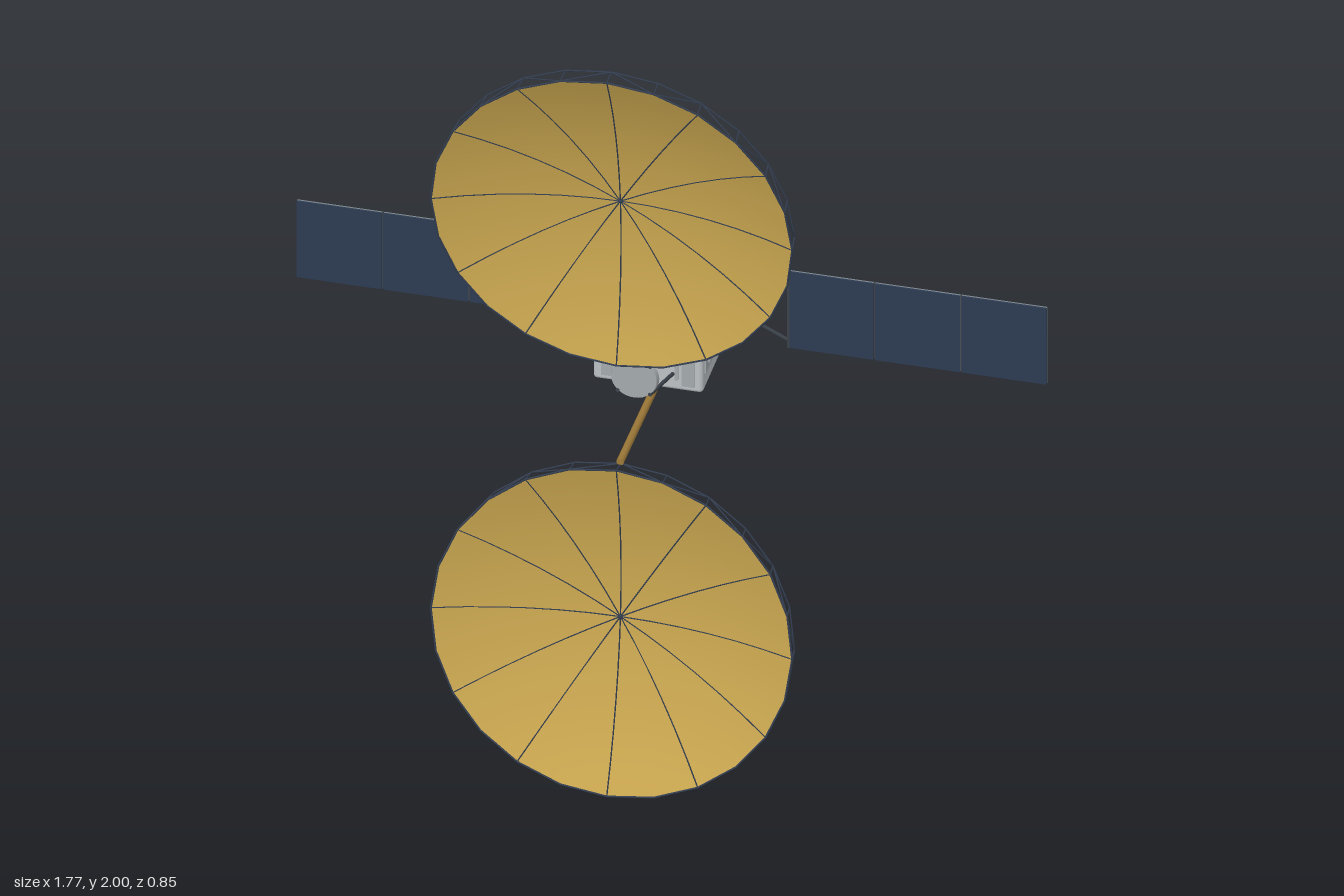
import * as THREE from 'three';
import { mergeGeometries } from 'three/addons/utils/BufferGeometryUtils.js';
import { RoundedBoxGeometry } from 'three/addons/geometries/RoundedBoxGeometry.js';

const paint = (name, color, side = THREE.FrontSide) => {
  const m = new THREE.MeshStandardMaterial({ color, side });
  m.name = name;
  return m;
};
const V = (x, y, z) => new THREE.Vector3(x, y, z);
const MID = 1.005; // height of the body axis

// Round bar between two points
function bar(a, b, r, sides = 5) {
  const d = b.clone().sub(a);
  const g = new THREE.CylinderGeometry(r, r, d.length(), sides);
  g.applyQuaternion(new THREE.Quaternion().setFromUnitVectors(V(0, 1, 0), d.normalize()));
  const c = a.clone().add(b).multiplyScalar(0.5);
  return g.translate(c.x, c.y, c.z);
}

// Parabolic bowl opening towards +z, rim in the plane z = 0
function bowl(R, depth, sides, steps) {
  const pts = [];
  for (let i = 0; i <= steps; i++) {
    const t = i / steps;
    pts.push(new THREE.Vector2(R * t, depth * (t * t - 1)));
  }
  return new THREE.LatheGeometry(pts, sides).rotateX(Math.PI / 2);
}

export function createModel() {
  const gold = paint('gold mesh', 0xcaa750, THREE.DoubleSide);
  const bronze = paint('bronze boom', 0x9c7838);
  const silver = paint('silver body', 0xbcc1c4);
  const lightGrey = paint('light grey fittings', 0xa4aaad, THREE.DoubleSide);
  const charcoal = paint('charcoal module', 0x4a5356);
  const midGrey = paint('mid grey panel back', 0x78828a);
  const navy = paint('navy solar cells', 0x2c3b52);
  const dark = paint('dark struts', 0x3a4149);
  const slate = paint('slate truss', 0x343f52);

  const model = new THREE.Group();
  model.name = 'satellite';
  const add = (name, geo, mat, parent = model) => {
    const m = new THREE.Mesh(geo, mat);
    m.name = name;
    parent.add(m);
    return m;
  };
  const box = (name, w, h, d, x, y, z, mat, parent) =>
    add(name, new THREE.BoxGeometry(w, h, d).translate(x, y, z), mat, parent);
  const disc = (name, r0, r1, h, z, mat, sides = 32) =>
    add(name, new THREE.CylinderGeometry(r1, r0, h, sides).rotateX(Math.PI / 2).translate(0, MID, z), mat);

  // Main body and rear module
  add('body', new RoundedBoxGeometry(0.26, 0.222, 0.265, 2, 0.01).translate(0, MID, -0.098), silver);
  box('bodySeam', 0.264, 0.226, 0.005, 0, MID, -0.192, dark);
  box('rearFlange', 0.266, 0.224, 0.008, 0, MID, -0.227, lightGrey);
  box('rearModule', 0.236, 0.2, 0.176, 0, MID, -0.317, charcoal);

  // Engine ring on the rear face
  const ring = new THREE.Shape().absarc(0, 0, 0.086, 0, Math.PI * 2);
  ring.holes.push(new THREE.Path().absarc(0, 0, 0.064, 0, Math.PI * 2));
  add('engineRing', new THREE.ExtrudeGeometry(ring, { depth: 0.022, bevelEnabled: false, curveSegments: 24 })
    .translate(0, MID, -0.426), midGrey);
  disc('engineWell', 0.064, 0.064, 0.006, -0.407, charcoal);
  disc('engineCore', 0.046, 0.05, 0.012, -0.41, midGrey);

  // Raised plates on the side and front faces
  for (const s of [-1, 1]) {
    box('sidePlate', 0.006, 0.124, 0.19, s * 0.131, MID, -0.075, lightGrey);
    box('sideInset', 0.006, 0.095, 0.11, s * 0.133, MID, -0.06, silver);
    for (const v of [-0.032, 0, 0.032])
      box('sideLouver', 0.003, 0.004, 0.1, s * 0.1365, MID + v, -0.06, charcoal);
    box('frontPlate', 0.03, 0.19, 0.005, s * 0.095, MID, 0.035, lightGrey);
    box('frontStrip', 0.008, 0.16, 0.006, s * 0.068, MID, 0.036, lightGrey);
  }

  // Forward feed: a disc carried on four legs
  disc('frontFeed', 0.057, 0.054, 0.012, 0.159, lightGrey);
  disc('feedBase', 0.058, 0.058, 0.006, 0.036, lightGrey);
  const legs = [];
  for (const sx of [-1, 1]) for (const sy of [-1, 1])
    legs.push(bar(V(sx * 0.06, MID + sy * 0.066, 0.03), V(sx * 0.038, MID + sy * 0.038, 0.168), 0.0045, 8));
  add('feedLegs', mergeGeometries(legs), dark);

  // Solar wings, mirrored left and right
  for (const s of [-1, 1]) {
    const wing = new THREE.Group();
    wing.name = s > 0 ? 'leftSolarWing' : 'rightSolarWing';
    model.add(wing);
    for (let i = 0; i < 3; i++) {
      const x = s * (0.376 + i * 0.205);
      box('solarCells', 0.201, 0.212, 0.004, x, MID, -0.19, navy, wing);
      box('panelBack', 0.201, 0.212, 0.004, x, MID, -0.194, midGrey, wing);
      if (i) box('panelHinge', 0.006, 0.212, 0.004, x - s * 0.1025, MID, -0.196, dark, wing);
    }
    for (const v of [-1, 1]) {
      box('backRail', 0.611, 0.0025, 0.002, s * 0.581, MID + v * 0.085, -0.1965, dark, wing);
      add('wingStrut', bar(V(s * 0.13, MID + v * 0.016, -0.192), V(s * 0.277, MID + v * 0.088, -0.192), 0.0045, 8), dark, wing);
    }
    box('wingRoot', 0.005, 0.212, 0.009, s * 0.276, MID, -0.192, dark, wing);
    add('wingHub', new THREE.CylinderGeometry(0.02, 0.02, 0.02, 8).rotateZ(Math.PI / 2)
      .translate(s * 0.137, MID, -0.192), dark, wing);
  }

  // Mesh reflectors with ribs, rim truss and boom, above and below the body
  const R = 0.427, DEPTH = 0.084, SIDES = 24;
  for (const s of [1, -1]) {
    const dish = new THREE.Group();
    dish.name = s > 0 ? 'upperReflector' : 'lowerReflector';
    dish.position.set(0, MID + s * 0.571, 0.375);
    dish.rotation.x = s * 0.105;
    model.add(dish);
    add('reflectorMesh', bowl(R, DEPTH, SIDES, 12), gold, dish);

    const ribs = [], truss = [];
    const at = (r, a, z) => V(r * Math.cos(a), r * Math.sin(a), z);
    for (let i = 0; i < 12; i++) {
      const a = (i / 12) * Math.PI * 2;
      for (let k = 0; k < 6; k++) {
        const p = (t) => at(R * t, a, DEPTH * (t * t - 1) + 0.0005);
        ribs.push(bar(p(k / 6), p((k + 1) / 6), 0.0016, 4));
      }
    }
    for (let i = 0; i < SIDES; i++) {
      const a = (i / SIDES) * Math.PI * 2, b = ((i + 1) / SIDES) * Math.PI * 2;
      const f0 = at(R, a, 0), f1 = at(R, b, 0);
      const b0 = at(R - 0.006, a, -0.046), b1 = at(R - 0.006, b, -0.046);
      truss.push(bar(f0, f1, 0.0024), bar(b0, b1, 0.002), bar(f0, b0, 0.002));
      truss.push(i % 2 ? bar(f0, b1, 0.0018) : bar(b0, f1, 0.0018));
    }
    add('reflectorRibs', mergeGeometries(ribs), slate, dish);
    add('rimTruss', mergeGeometries(truss), slate, dish);
    add('reflectorHub', new THREE.SphereGeometry(0.005, 8, 6).translate(0, 0, -DEPTH), slate, dish);

    const elbow = V(0, MID + s * 0.159, -0.048);
    add('reflectorBoom', bar(V(0, MID + s * 0.146, 0.295), elbow, 0.009, 10), bronze);
    for (const sx of [-1, 1])
      add('boomBrace', bar(V(sx * 0.055, MID + s * 0.108, -0.155), elbow, 0.006, 8), dark);
  }

  // Small dish on top of the body with its feed stub
  const small = add('smallDish', bowl(0.074, 0.016, 24, 5), lightGrey);
  small.position.set(0, 1.165, -0.038);
  small.rotation.x = 0.2;
  add('smallFeedStub', bar(V(0.012, 1.11, 0.008), V(0.03, 1.17, -0.006), 0.006, 8), bronze);
  add('smallFeedHead', bar(V(0.03, 1.168, -0.014), V(0.03, 1.176, 0.006), 0.01, 10), bronze);

  return model;
}
